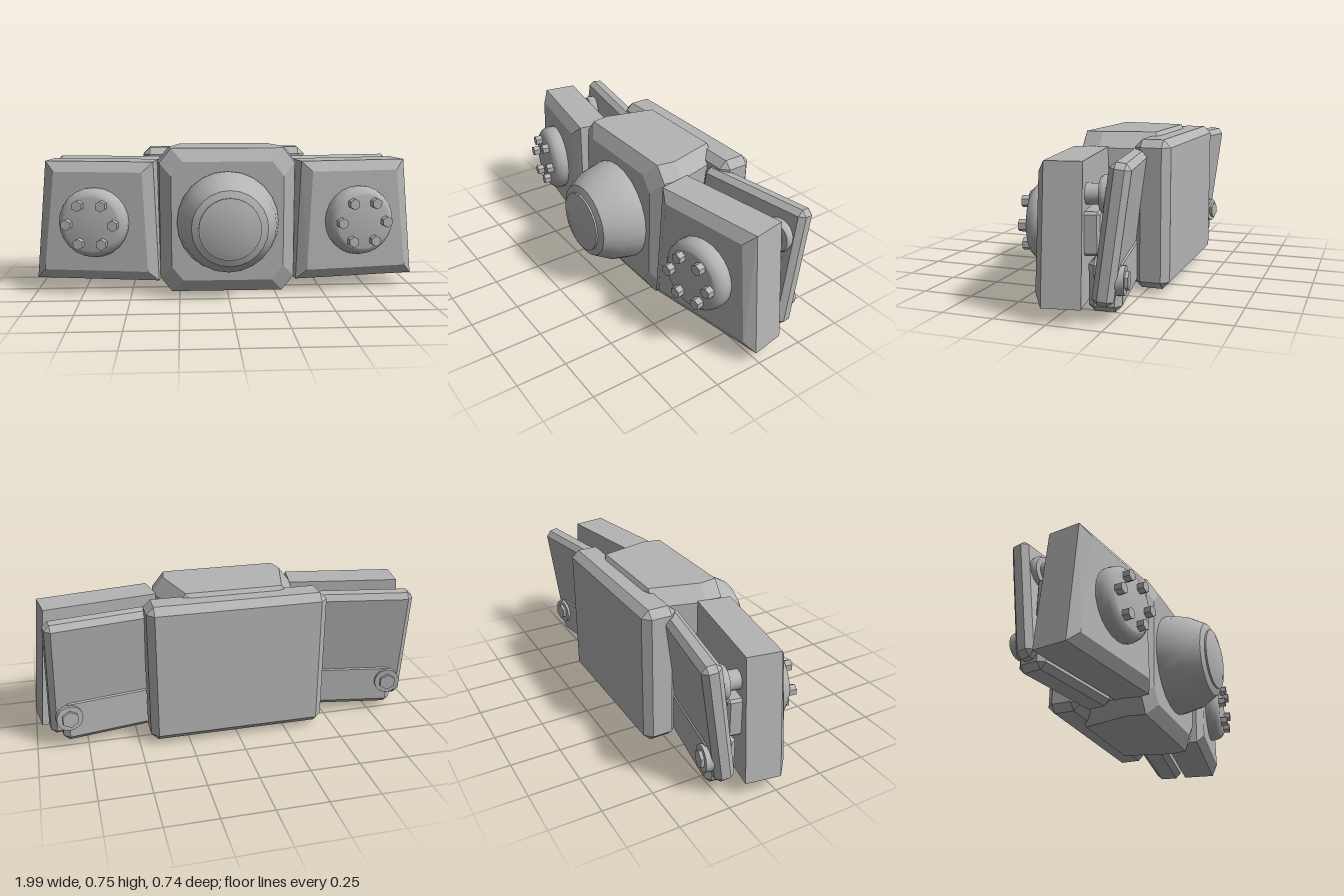
import * as THREE from 'three';
import { toCreasedNormals } from 'three/addons/utils/BufferGeometryUtils.js';
import { ConvexGeometry } from 'three/addons/geometries/ConvexGeometry.js';

const grey = new THREE.MeshStandardMaterial({ color: 0xb4b4b4 });
grey.name = 'plain grey';

function add(parent, name, geometry, x = 0, y = 0, z = 0) {
  const mesh = new THREE.Mesh(geometry, grey);
  mesh.name = name;
  mesh.position.set(x, y, z);
  parent.add(mesh);
  return mesh;
}

// Box with all edges and corners chamfered
function chamferBox(w, h, d, c) {
  const pts = [];
  for (const i of [-1, 1]) for (const j of [-1, 1]) for (const k of [-1, 1]) {
    const x = i * w / 2, y = j * h / 2, z = k * d / 2;
    pts.push(
      new THREE.Vector3(x, y - j * c, z - k * c),
      new THREE.Vector3(x - i * c, y, z - k * c),
      new THREE.Vector3(x - i * c, y - j * c, z));
  }
  return new ConvexGeometry(pts);
}

// Turned part along z, from [radius, z] pairs ordered back to front
function turned(profile, sides) {
  const g = new THREE.LatheGeometry(profile.map(([r, z]) => new THREE.Vector2(r, z)), sides);
  return toCreasedNormals(g.rotateX(Math.PI / 2), 0.6);
}

function disc(r, z0, z1, sides = 24) {
  return turned([[0, z0], [r, z0], [r, z1], [0, z1]], sides);
}

// Central housing: octagonal sections [z, half width, half height]
function housing() {
  const pts = [];
  const sections = [[-0.272, 0.26, 0.345], [-0.25, 0.3, 0.3765], [0, 0.365, 0.3765], [0.09, 0.35, 0.3765], [0.133, 0.29, 0.31]];
  for (const [z, w, h] of sections)
    for (const i of [-1, 1]) for (const j of [-1, 1]) {
      pts.push(new THREE.Vector3(i * w, j * (h - 0.075), z));
      pts.push(new THREE.Vector3(i * (w - 0.06), j * h, z));
    }
  return new ConvexGeometry(pts);
}

// Side block: trapezoid with a bevelled front face
function wingBlock(s) {
  const pts = [];
  const outline = (inset, z) => {
    for (const [x, y, dir, up] of [[-0.325, 0.07, 1, 1], [0.325, 0.07, -1, 1], [0.265, 0.686, -1, -1], [-0.3, 0.686, 1, -1]])
      pts.push(new THREE.Vector3(s * (x + dir * inset), y + up * inset, z + (up > 0 && z > 0 ? 0.007 : 0)));
  };
  outline(0, -0.102);
  outline(0, 0.065);
  outline(0.052, 0.1);
  return new ConvexGeometry(pts);
}

function makeWing(s) {
  const wing = new THREE.Group();
  wing.name = s > 0 ? 'leftWing' : 'rightWing';
  wing.position.set(s * 0.665, 0, 0.0075);
  wing.rotation.y = s * 0.167;
  add(wing, 'wingBlock', wingBlock(s));

  // Round cap with six hexagonal bolts
  const cap = new THREE.Group();
  cap.name = 'boltedCap';
  cap.position.set(0, 0.378, 0.1);
  wing.add(cap);
  add(cap, 'capDisc', turned([[0, -0.01], [0.178, -0.01], [0.18, 0.03], [0.172, 0.058], [0.15, 0.08], [0.138, 0.083], [0, 0.083]], 24));
  for (let i = 0; i < 6; i++) {
    const a = i * Math.PI / 3;
    add(cap, 'capBolt', disc(0.028, 0.06, 0.118, 6), 0.12 * Math.cos(a), 0.112 * Math.sin(a));
  }

  // Leaning back plate and the parts joining it to the block
  const plate = add(wing, 'backPlate', chamferBox(0.6, 0.615, 0.095, 0.026), 0, 0.38, -0.222);
  plate.rotation.x = -0.135;
  add(wing, 'lowerBracket', chamferBox(0.54, 0.235, 0.145, 0.028), s * -0.025, 0.153, -0.186);
  add(wing, 'middleSpacer', chamferBox(0.52, 0.19, 0.08, 0.012), s * -0.01, 0.377, -0.128);
  add(wing, 'post', disc(0.046, -0.19, -0.095), s * 0.19, 0.54);
  add(wing, 'postFlange', turned([[0, -0.215], [0.08, -0.215], [0.083, -0.18], [0.075, -0.165], [0, -0.165]], 24), s * 0.19, 0.54);
  add(wing, 'backWasher', disc(0.065, -0.273, -0.2), s * 0.215, 0.175);
  add(wing, 'backBolt', disc(0.043, -0.288, -0.26, 6), s * 0.215, 0.175);
  return wing;
}

export function createModel() {
  const model = new THREE.Group();
  model.name = 'mechanicalBelt';
  add(model, 'centralHousing', housing(), 0, 0.3765, 0);
  add(model, 'rearPack', chamferBox(0.89, 0.712, 0.174, 0.036), 0, 0.377, -0.285);

  // Front dome with a stepped rim
  add(model, 'frontDome', turned([[0, 0.12], [0.262, 0.12], [0.262, 0.15], [0.24, 0.25], [0.19, 0.337],
    [0.155, 0.35], [0.155, 0.359], [0.14, 0.362], [0.108, 0.372], [0, 0.372]], 24), 0, 0.376, 0);

  for (const s of [1, -1]) model.add(makeWing(s));
  return model;
}
